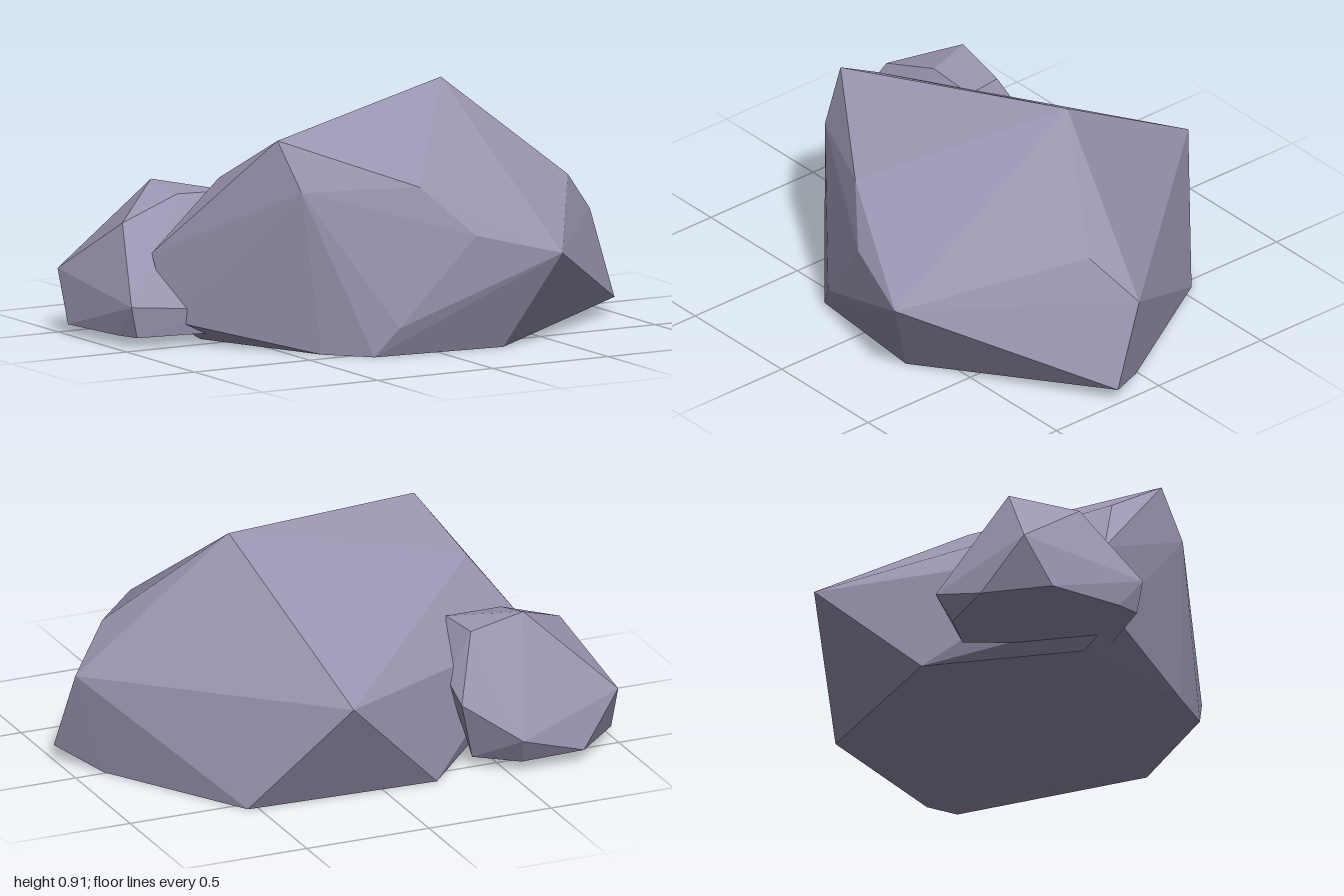
import * as THREE from 'three';
import { ConvexGeometry } from 'three/addons/geometries/ConvexGeometry.js';

const stone = new THREE.MeshStandardMaterial({ color: 0x9a94b0, flatShading: true });
stone.name = 'stone';

// A faceted boulder: the convex hull of its corner points.
function rock(name, corners) {
  const points = corners.map(([x, y, z]) => new THREE.Vector3(x, y, z));
  const mesh = new THREE.Mesh(new ConvexGeometry(points), stone);
  mesh.name = name;
  return mesh;
}

export function createModel() {
  const group = new THREE.Group();
  group.name = 'rocks';

  group.add(rock('largeRock', [
    // crown
    [0.4, 0.91, -0.06], [-0.51, 0.8, 0.28], [-0.61, 0.63, 0.02], [-0.47, 0.615, 0.39],
    // front shoulder
    [-0.07, 0.63, 0.58], [0.1, 0.45, 0.71], [0.42, 0.37, 0.8], [-0.18, 0.11, 0.62],
    // right, back and left sides
    [0.81, 0.54, 0.18], [0.97, 0.38, 0.07], [1, 0.06, 0.2], [0.22, 0.44, -0.805],
    [-0.82, 0.34, -0.12], [-0.78, 0.09, -0.06],
    // flat base
    [0.27, 0, 0.62], [0.88, 0, 0.01], [0.54, 0, -0.55], [-0.22, 0, -0.58],
    [-0.62, 0, -0.1], [-0.4, 0, 0.42], [-0.26, 0, 0.57],
  ]));

  group.add(rock('smallRock', [
    // crown
    [-0.64, 0.56, -0.43], [-0.87, 0.44, -0.25], [-0.62, 0.525, -0.27],
    [-0.4, 0.52, -0.26], [-0.43, 0.51, -0.42],
    // sides
    [-0.98, 0.235, -0.54], [-0.96, 0.16, -0.03], [-0.53, 0.145, -0.68],
    [-0.33, 0.34, -0.42], [-0.34, 0.27, -0.54], [-0.6, 0.13, 0.02],
    // flat base
    [-0.8, 0.05, -0.63], [-1, 0.04, -0.43], [-0.96, 0.04, -0.13], [-0.93, 0.04, -0.04],
    [-0.65, 0.04, 0], [-0.55, 0.04, -0.62], [-0.4, 0.04, -0.5],
  ]));

  return group;
}
